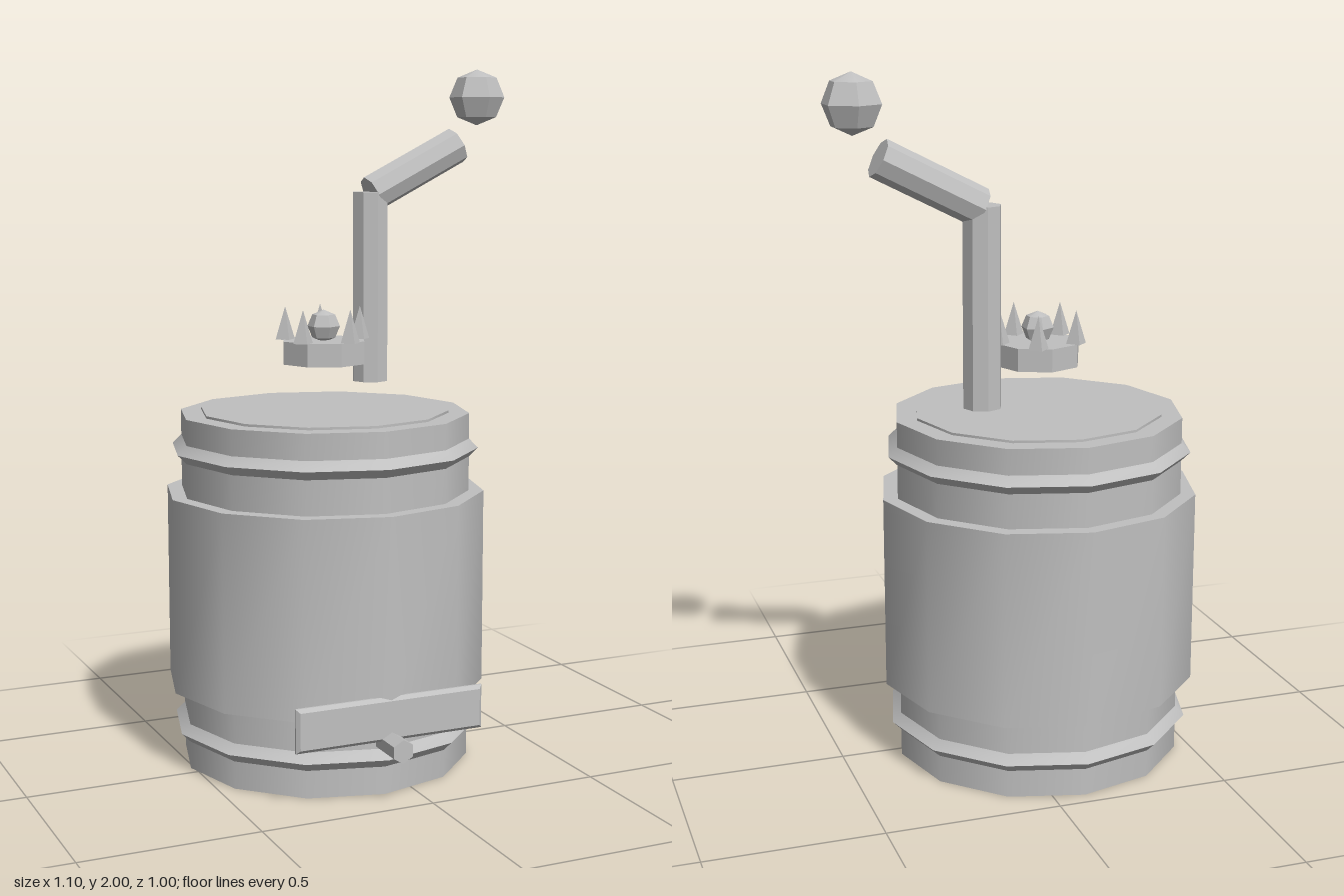
import * as THREE from 'three';
import { toCreasedNormals } from 'three/addons/utils/BufferGeometryUtils.js';

const CX = -0.09, CZ = -0.037; // axis of the can

export function createModel() {
  const root = new THREE.Group();
  const grey = new THREE.MeshStandardMaterial({ color: 0xc0c0c0 });
  grey.name = 'plain grey';

  function add(name, geometry, x, y, z, parent = root) {
    const mesh = new THREE.Mesh(toCreasedNormals(geometry, 0.6), grey);
    mesh.name = name;
    mesh.position.set(x, y, z);
    parent.add(mesh);
    return mesh;
  }
  // upright cylinder between two heights
  function drum(name, radius, y0, y1, sides, x = CX, z = CZ, parent = root) {
    return add(name, new THREE.CylinderGeometry(radius, radius, y1 - y0, sides), x, (y0 + y1) / 2, z, parent);
  }
  // faceted ball with its equator corners on the z axis
  function ball(name, radius, x, y, z, parent = root) {
    return add(name, new THREE.SphereGeometry(radius, 6, 4).rotateY(Math.PI / 2), x, y, z, parent);
  }

  // can body, sleeve and lid
  drum('body', 0.42, 0, 1.015, 12);
  drum('sleeve', 0.463, 0.228, 0.79, 12);
  drum('lid', 0.36, 1.01, 1.022, 12);

  // diamond-section rims
  for (const [name, y] of [['lowerRim', 0.105], ['upperRim', 0.915]]) {
    const rim = new THREE.Group();
    rim.name = name;
    root.add(rim);
    add('rimTop', new THREE.CylinderGeometry(0.42, 0.446, 0.026, 12, 1, true), CX, y + 0.013, CZ, rim);
    add('rimUnderside', new THREE.CylinderGeometry(0.446, 0.42, 0.026, 12, 1, true), CX, y - 0.013, CZ, rim);
  }

  // bent straw with a ball above its tip
  drum('strawStem', 0.055, 1.077, 1.639, 8, 0.121, -0.177);
  const bend = add('strawBend', new THREE.CylinderGeometry(0.055, 0.055, 0.315, 8), 0.266, 1.704, -0.177);
  bend.rotation.z = -1.1;
  ball('strawBall', 0.083, 0.475, 1.918, -0.177);

  // small crown floating over the lid
  const crown = new THREE.Group();
  crown.name = 'crown';
  root.add(crown);
  drum('crownBase', 0.125, 1.156, 1.222, 8, CX, CZ, crown);
  ball('crownJewel', 0.047, CX, 1.262, CZ, crown);
  for (let i = 0; i < 5; i++) {
    const a = i * Math.PI * 2 / 5;
    add('crownSpike', new THREE.ConeGeometry(0.03, 0.095, 4), CX + 0.114 * Math.cos(a), 1.269, CZ + 0.114 * Math.sin(a), crown);
  }

  // bevelled front plate
  const w = 0.27, h = 0.052;
  const outline = new THREE.Shape([[-w, -h], [w, -h], [w, h], [-w, h]].map(p => new THREE.Vector2(...p)));
  const plate = new THREE.ExtrudeGeometry(outline, {
    depth: 0.006, bevelEnabled: true, bevelThickness: 0.01, bevelSize: 0.01, bevelSegments: 1,
  });
  add('frontPlate', plate, CX, 0.227, 0.412);

  // hexagonal peg below the plate
  add('peg', new THREE.CylinderGeometry(0.033, 0.033, 0.115, 6).rotateX(Math.PI / 2), CX, 0.158, 0.4425);

  return root;
}
